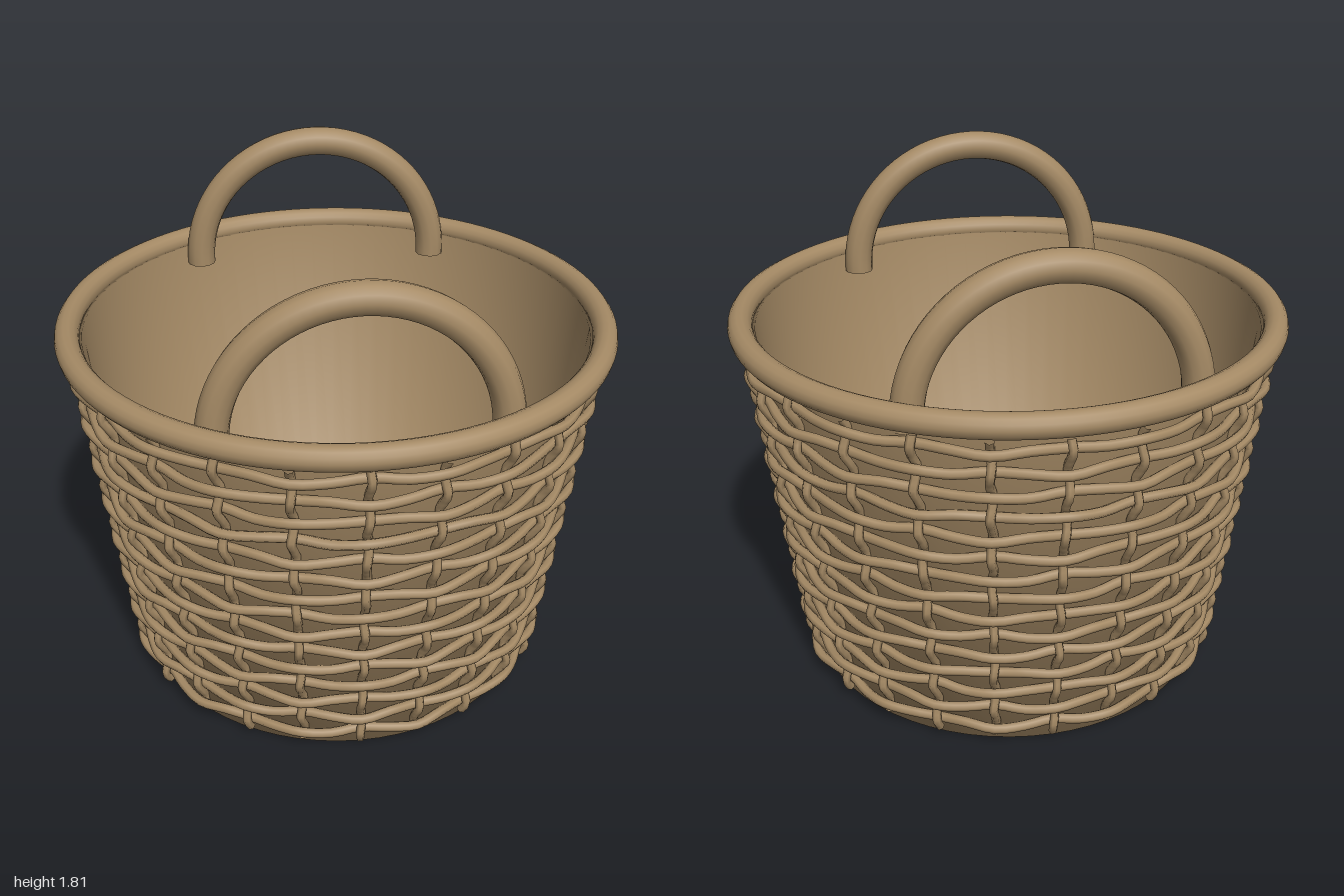
import * as THREE from 'three';

const STAKES = 24, ROWS = 15, ROW_GAP = 0.083, FIRST_ROW = 0.08;
const TAU = Math.PI * 2;
const wallRadius = (y) => 0.755 + 0.128 * y;

// Closed or open tube through points given by a rule
function strand(count, closed, rule, radius, segments, sides, material) {
  const points = Array.from({ length: count }, (_, i) => rule(i));
  const curve = new THREE.CatmullRomCurve3(points, closed);
  return new THREE.Mesh(new THREE.TubeGeometry(curve, segments, radius, sides, closed), material);
}

function polar(r, a, y) {
  return new THREE.Vector3(Math.cos(a) * r, y, Math.sin(a) * r);
}

export function createModel() {
  const model = new THREE.Group();
  const wicker = new THREE.MeshStandardMaterial({ color: 0xa58a65 });
  wicker.name = 'wicker tan';

  // Softly shaded bucket with an inner wall and floor
  const profile = [[0, 0], [0.755, 0], [0.925, 1.33], [0.905, 1.33], [0.735, 0.02], [0, 0.02]];
  const bucket = new THREE.Mesh(
    new THREE.LatheGeometry(profile.map(([x, y]) => new THREE.Vector2(x, y)), 64), wicker);
  bucket.name = 'bucket';
  model.add(bucket);

  // Horizontal strands, passing over and under alternate stakes
  const rows = new THREE.Group();
  rows.name = 'wovenRows';
  for (let k = 0; k < ROWS; k++) {
    const y0 = FIRST_ROW + k * ROW_GAP;
    const side = k % 2 ? 1 : -1;
    const row = strand(STAKES * 2, true, (i) => {
      const a = (i / (STAKES * 2)) * TAU;
      const y = y0 + 0.005 * Math.sin(i * 2.3 + k * 1.7);
      return polar(wallRadius(y0) + 0.022 + side * 0.016 * Math.cos(a * STAKES / 2), a, y);
    }, 0.018, STAKES * 6, 7, wicker);
    row.name = 'wovenRow';
    rows.add(row);
  }
  model.add(rows);

  // Upright stakes, weaving opposite to the rows
  const stakes = new THREE.Group();
  stakes.name = 'stakes';
  for (let s = 0; s < STAKES; s++) {
    const a = (s / STAKES) * TAU;
    const stake = strand(ROWS * 2 + 1, false, (i) => {
      const k = (i - 1) / 2;
      const y = FIRST_ROW + k * ROW_GAP;
      const wave = Math.cos(k * Math.PI) * (s % 2 ? -1 : 1);
      const sway = 0.004 * Math.sin(i * 1.9 + s * 2.1);
      return polar(wallRadius(y) + 0.02 + 0.016 * wave, a + sway, y);
    }, 0.016, ROWS * 5, 6, wicker);
    stake.name = 'stake';
    stakes.add(stake);
  }
  model.add(stakes);

  // Thick rolled rim
  const rim = new THREE.Mesh(new THREE.TorusGeometry(0.955, 0.044, 14, 96), wicker);
  rim.rotation.x = Math.PI / 2;
  rim.position.y = 1.342;
  rim.name = 'rim';
  model.add(rim);

  // Two arched handles with capped ends
  for (const z of [-0.73, 0.73]) {
    const handle = new THREE.Group();
    handle.name = z > 0 ? 'frontHandle' : 'backHandle';
    const arch = new THREE.Mesh(new THREE.TorusGeometry(0.47, 0.055, 12, 40, Math.PI), wicker);
    arch.name = 'handleArch';
    handle.add(arch);
    for (const x of [-0.47, 0.47]) {
      const end = new THREE.Mesh(new THREE.CylinderGeometry(0.055, 0.055, 0.02, 12), wicker);
      end.position.set(x, -0.01, 0);
      end.name = 'handleEnd';
      handle.add(end);
    }
    handle.position.set(0, 1.285, z);
    model.add(handle);
  }
  return model;
}
